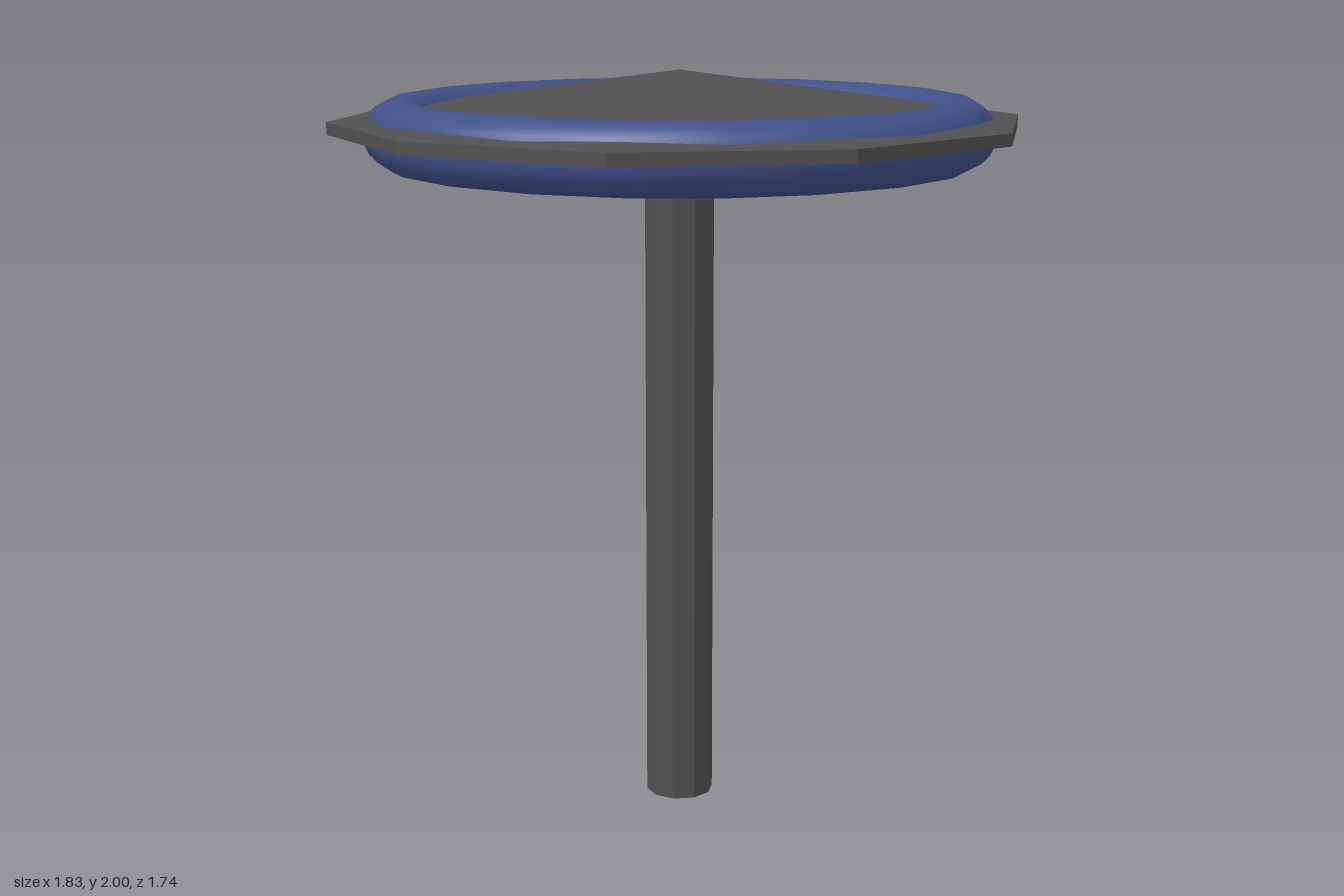
import * as THREE from 'three';

const SIDES = 10;
const DECK_Y = 1.842; // underside of the cap and centre height of the ring

export function createModel() {
  const group = new THREE.Group();
  const grey = new THREE.MeshStandardMaterial({ color: 0x505050, flatShading: true, side: THREE.DoubleSide });
  const blue = new THREE.MeshStandardMaterial({ color: 0x40518a });

  const add = (name, geometry, material) => {
    const mesh = new THREE.Mesh(geometry, material);
    mesh.name = name;
    group.add(mesh);
  };

  // Ten-sided post, open at the ends, with corners on the x axis
  const post = new THREE.CylinderGeometry(0.092, 0.092, DECK_Y, SIDES, 1, true);
  post.rotateY(Math.PI / 2).translate(0, DECK_Y / 2, 0);
  add('post', post, grey);

  // Ten-sided cap: flat underside, thin rim, shallow cone on top
  const profile = [[0, DECK_Y], [0.915, DECK_Y], [0.915, 1.874], [0, 2]]
    .map(([r, y]) => new THREE.Vector2(r, y));
  const cap = new THREE.LatheGeometry(profile, SIDES);
  cap.rotateY(Math.PI / 2);
  add('cap', cap, grey);

  // Smooth ring passing through the cap
  const ring = new THREE.TorusGeometry(0.735, 0.09, 20, 20);
  ring.rotateX(Math.PI / 2).translate(0, DECK_Y, 0);
  add('ring', ring, blue);

  return group;
}
